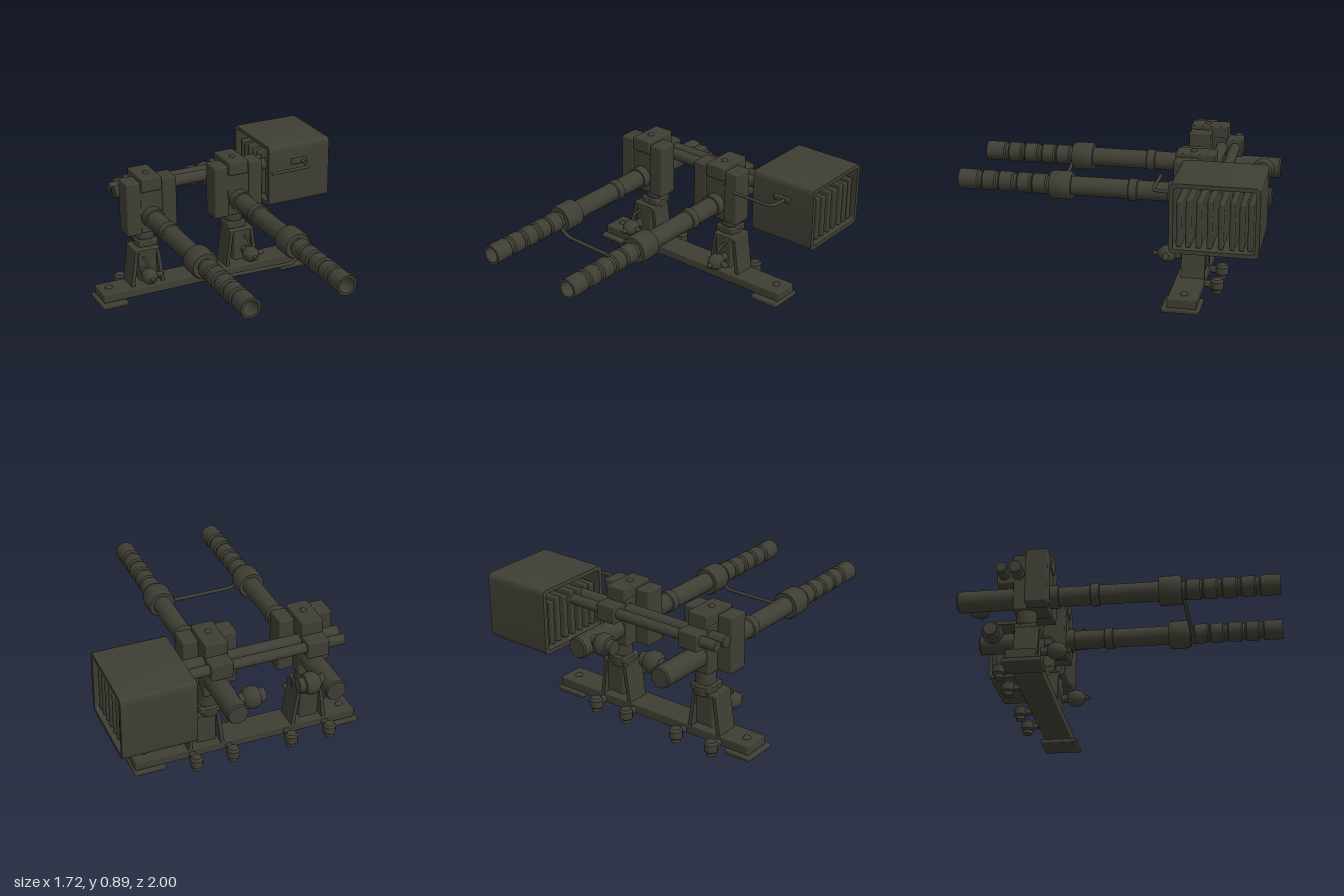
import * as THREE from 'three';
import { RoundedBoxGeometry } from 'three/addons/geometries/RoundedBoxGeometry.js';
import { toCreasedNormals } from 'three/addons/utils/BufferGeometryUtils.js';

const metal = new THREE.MeshStandardMaterial({ color: 0x3e3e34, side: THREE.DoubleSide });
metal.name = 'olive gunmetal';

function add(parent, name, geometry, x = 0, y = 0, z = 0) {
  const mesh = new THREE.Mesh(geometry, metal);
  mesh.name = name;
  mesh.position.set(x, y, z);
  parent.add(mesh);
  return mesh;
}

// Softly bevelled box given by its extents
function block(parent, name, x0, x1, y0, y1, z0, z1, r = 0.008) {
  const g = new RoundedBoxGeometry(x1 - x0, y1 - y0, z1 - z0, 2, r);
  return add(parent, name, g, (x0 + x1) / 2, (y0 + y1) / 2, (z0 + z1) / 2);
}

// Turned part: profile pairs are [radius, height along axis]
function turned(parent, name, profile, axis, x, y, z, segments = 28) {
  const g = new THREE.LatheGeometry(profile.map(p => new THREE.Vector2(...p)), segments);
  const mesh = add(parent, name, toCreasedNormals(g, 0.6), x, y, z);
  if (axis === 'z') mesh.rotation.x = Math.PI / 2;
  if (axis === 'x') mesh.rotation.z = -Math.PI / 2;
  return mesh;
}

function rod(parent, name, points, r) {
  const path = new THREE.CurvePath();
  const v = points.map(p => new THREE.Vector3(...p));
  let start = v[0];
  // Straight runs joined by short rounded bends
  for (let i = 1; i < v.length; i++) {
    if (i === v.length - 1) { path.add(new THREE.LineCurve3(start, v[i])); break; }
    const a = v[i].clone().lerp(v[i - 1], Math.min(0.45, 0.03 / v[i].distanceTo(v[i - 1])));
    const b = v[i].clone().lerp(v[i + 1], Math.min(0.45, 0.03 / v[i].distanceTo(v[i + 1])));
    path.add(new THREE.LineCurve3(start, a));
    path.add(new THREE.QuadraticBezierCurve3(a, v[i], b));
    start = b;
  }
  return add(parent, name, new THREE.TubeGeometry(path, 60, r, 8), 0, 0, 0);
}

function dome(parent, name, x, y, z, r) {
  const mesh = add(parent, name, new THREE.SphereGeometry(r, 14, 10), x, y, z);
  mesh.scale.y = 0.7;
  return mesh;
}

function roundedRect(target, x0, x1, y0, y1, r) {
  target.moveTo(x0 + r, y0);
  target.lineTo(x1 - r, y0).quadraticCurveTo(x1, y0, x1, y0 + r);
  target.lineTo(x1, y1 - r).quadraticCurveTo(x1, y1, x1 - r, y1);
  target.lineTo(x0 + r, y1).quadraticCurveTo(x0, y1, x0, y1 - r);
  target.lineTo(x0, y0 + r).quadraticCurveTo(x0, y0, x0 + r, y0);
  return target;
}

function makeBarrel(parent, x) {
  // Rear tube, sleeve rings, collar and a grooved, hollow muzzle
  const p = [[0, -1], [0.06, -1], [0.067, -0.99], [0.067, -0.66], [0.067, -0.42], [0.072, -0.42],
    [0.072, -0.36], [0.061, -0.36], [0.061, -0.165], [0.07, -0.16], [0.07, -0.11], [0.061, -0.105],
    [0.061, 0.26], [0.085, 0.26], [0.091, 0.27], [0.091, 0.38], [0.082, 0.4], [0.052, 0.4]];
  for (const [a, b] of [[0.43, 0.51], [0.535, 0.61], [0.65, 0.73], [0.765, 0.84], [0.88, 1]])
    p.push([0.053, a - 0.01], [0.064, a], [0.064, b], [0.053, b === 1 ? 1 : b + 0.01]);
  p.push([0.049, 1], [0.045, 0.8], [0, 0.8]);
  turned(parent, 'barrel', p, 'z', x, 0.597, 0);
}

function makeMount(parent, name, x, legX, ballX, side) {
  const g = new THREE.Group();
  g.name = name;
  parent.add(g);
  makeBarrel(g, x);

  // Clamp housing with two cheeks and a capped centre
  const c = x + (side > 0 ? -0.005 : 0);
  block(g, 'housingBody', c - 0.16, c + 0.16, 0.495, 0.79, -0.55, -0.42);
  for (const s of [-1, 1])
    block(g, 'housingCheek', c + s * 0.125 - 0.05, c + s * 0.125 + 0.05, 0.49, 0.852, -0.55, -0.41, 0.01);
  block(g, 'housingCentre', c - 0.075, c + 0.075, 0.49, 0.8, -0.64, -0.42);
  block(g, 'housingCap', c - 0.07, c + 0.07, 0.78, 0.872, -0.65, -0.405);
  dome(g, 'capBolt', c, 0.87, -0.51, 0.022);
  block(g, 'barClip', c - 0.07, c + 0.07, 0.675, 0.785, -0.745, -0.57);

  // Swivel post and collars
  const px = x + (side > 0 ? 0.02 : 0);
  turned(g, 'swivelPost', [[0, 0.33], [0.07, 0.33], [0.076, 0.345], [0.076, 0.39], [0.063, 0.405],
    [0.063, 0.52], [0, 0.52]], 'y', px, 0, -0.565);
  block(g, 'swivelCollar', px - 0.068, px + 0.068, 0.355, 0.4, -0.63, -0.49);

  // Splayed legs, their top plate and inner block
  for (const s of [-1, 1]) {
    const shape = new THREE.Shape();
    shape.moveTo(s * 0.122, 0.08);
    shape.lineTo(s * 0.084, 0.35);
    shape.lineTo(s * 0.062, 0.35);
    shape.lineTo(s * 0.097, 0.08);
    const leg = new THREE.ExtrudeGeometry(shape, { depth: 0.15, bevelEnabled: false });
    add(g, 'leg', leg, legX, 0, -0.615);
  }
  block(g, 'legTopPlate', legX - 0.086, legX + 0.086, 0.328, 0.355, -0.62, -0.46);
  block(g, 'legCore', legX - 0.063, legX + 0.063, 0.13, 0.345, -0.615, -0.455);

  // Locking knob with spindle, wing and wire
  turned(g, 'lockKnob', [[0, -0.46], [0.028, -0.46], [0.028, -0.415], [0.045, -0.4], [0.055, -0.37],
    [0.052, -0.34], [0.036, -0.315], [0.015, -0.3], [0.012, -0.27], [0, -0.265]], 'z', ballX, 0.205, 0, 20);
  add(g, 'knobWing', new THREE.CapsuleGeometry(0.018, 0.07, 4, 10), ballX + 0.045, 0.21, -0.36).rotation.z = 1.4;
  rod(g, 'knobWire', [[ballX, 0.24, -0.37], [ballX, 0.3, -0.39], [ballX, 0.3, -0.46]], 0.009);

  // Side knob at the rear of the barrel
  const h = -side;
  turned(g, 'rearKnob', [[0, 0.04], [0.04, 0.04], [0.04, 0.07], [0.058, 0.085], [0.07, 0.11], [0.07, 0.14],
    [0.058, 0.165], [0.045, 0.17], [0.045, 0.205], [0, 0.205]].map(([r, t]) => [r, h * t]), 'x', x, 0.62, -0.895);
}

function makeBase(parent) {
  block(parent, 'baseRail', -0.84, 0.65, 0.033, 0.095, -0.615, -0.435);
  block(parent, 'footPlate', -0.86, -0.68, 0.004, 0.032, -0.635, -0.4);
  block(parent, 'footPlate', 0.455, 0.66, 0.004, 0.032, -0.635, -0.4);
  for (const x of [-0.77, 0.57]) dome(parent, 'railBolt', x, 0.095, -0.53, 0.025);
  // Hanging bolts along the back edge
  for (const x of [-0.625, -0.36, 0.035, 0.28]) {
    turned(parent, 'hangingBolt', [[0, 0.003], [0.03, 0.003], [0.03, 0.025], [0.042, 0.035], [0.042, 0.08],
      [0.03, 0.095], [0, 0.1]], 'y', x, 0, -0.692, 16);
    block(parent, 'boltBracket', x - 0.02, x + 0.02, 0.04, 0.075, -0.68, -0.6);
  }
}

function makeBox(parent) {
  const g = new THREE.Group();
  g.name = 'ammoBox';
  parent.add(g);
  // Open rounded sleeve running across the model
  const shape = roundedRect(new THREE.Shape(), 0.475, 1, 0.47, 0.895, 0.035);
  shape.holes.push(roundedRect(new THREE.Path(), 0.5, 0.975, 0.495, 0.87, 0.02));
  const sleeve = new THREE.ExtrudeGeometry(shape, { depth: 0.46, bevelEnabled: false, curveSegments: 6 });
  add(g, 'boxSleeve', toCreasedNormals(sleeve, 0.6), 0.395, 0, 0).rotation.y = Math.PI / 2;
  // Upright slats inside
  [0.53, 0.585, 0.645, 0.71, 0.775, 0.84, 0.895, 0.945].forEach((z, i) => {
    const top = 0.785 + (i % 2) * 0.012;
    block(g, 'slat', 0.425, 0.83, 0.5, top, -z - 0.017, -z + 0.017, 0.012);
  });
  // Bent side handle
  rod(g, 'handleRod', [[0.345, 0.77, -0.34], [0.63, 0.77, -0.342], [0.645, 0.77, -0.49]], 0.011);
  block(g, 'handlePad', 0.56, 0.68, 0.752, 0.79, -0.482, -0.46);
}

export function createModel() {
  const model = new THREE.Group();
  model.name = 'twinBarrelMount';
  makeBase(model);
  makeMount(model, 'rightMount', -0.49, -0.512, -0.545, -1);
  makeMount(model, 'leftMount', 0.14, 0.183, 0.197, 1);

  // Cross bars joining both housings to the box
  for (const [z, r, end] of [[-0.61, 0.039, 0.45], [-0.698, 0.033, 0.45]])
    turned(model, 'crossBar', [[0, -0.675], [r, -0.675], [r, end], [0, end]], 'x', 0, 0.733, z, 20);

  // Thin tie rod under the collars
  rod(model, 'tieRod', [[-0.47, 0.55, 0.41], [-0.4, 0.51, 0.415], [0.08, 0.503, 0.425], [0.14, 0.55, 0.425]], 0.012);
  makeBox(model);
  return model;
}
